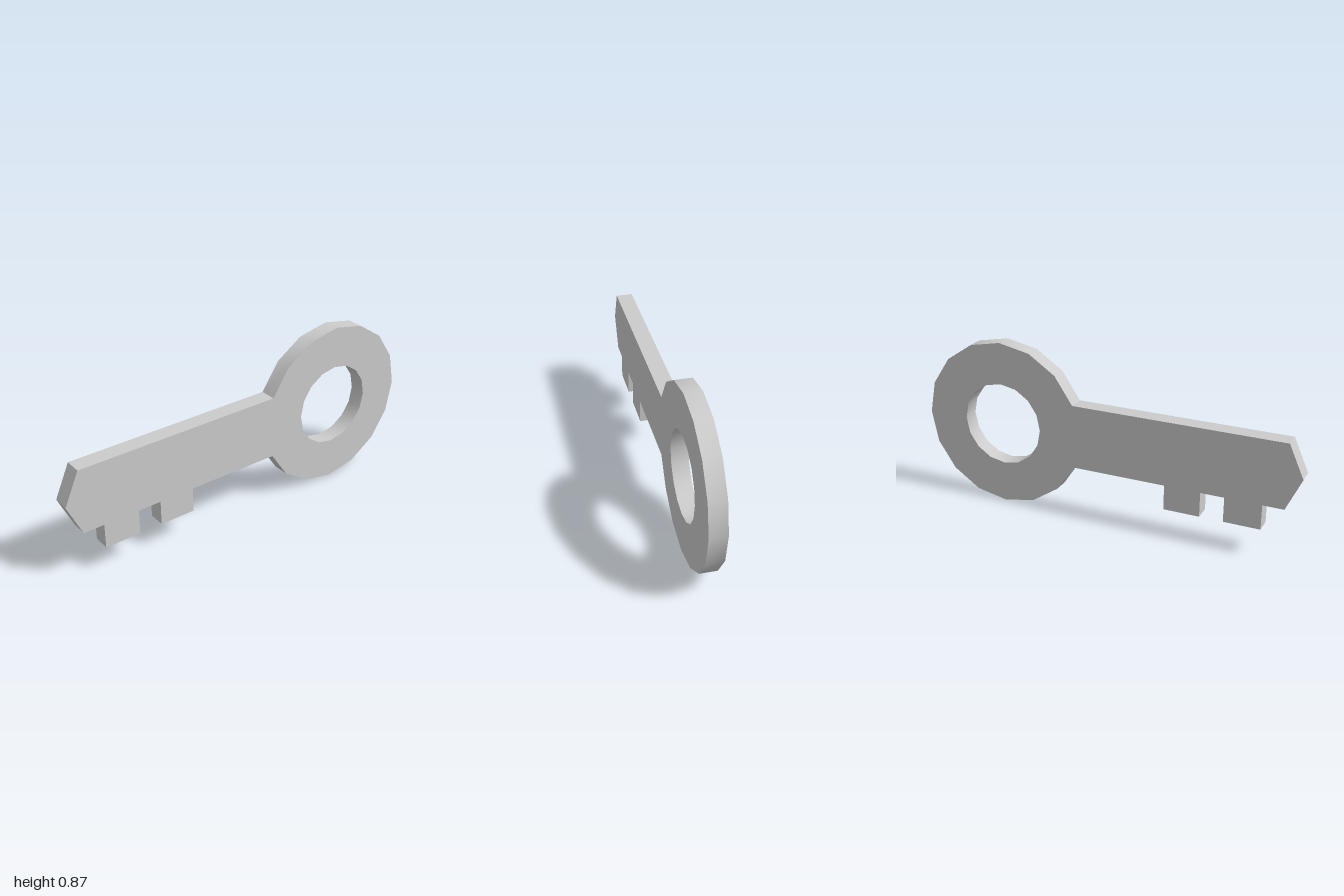
import * as THREE from 'three';
import { toCreasedNormals } from 'three/addons/utils/BufferGeometryUtils.js';

const THICKNESS = 0.086;
const BOW = { z: -0.565, y: 0.435, outer: 0.435, inner: 0.217, sides: 16 };

// Corner i of a regular polygon around the bow's centre, as (z, y)
function bowPoint(radius, i) {
  const a = (i / BOW.sides) * Math.PI * 2;
  return new THREE.Vector2(BOW.z + radius * Math.cos(a), BOW.y + radius * Math.sin(a));
}

export function createModel() {
  const group = new THREE.Group();
  group.name = 'key';

  // Bow: ring corners from the upper neck round to the lower neck
  const outline = [];
  for (let i = 1; i < BOW.sides; i++) outline.push(bowPoint(BOW.outer, i));

  // Blade: underside with two teeth, then the pointed tip
  const bottom = outline[outline.length - 1].y;
  const top = outline[0].y;
  const toothBottom = 0.14;
  const add = (z, y) => outline.push(new THREE.Vector2(z, y));
  for (const [start, end] of [[0.33, 0.515], [0.635, 0.82]]) {
    add(start, bottom);
    add(start, toothBottom);
    add(end, toothBottom);
    add(end, bottom);
  }
  add(0.925, bottom);
  add(1, BOW.y);
  add(0.925, top);

  // Round hole through the bow
  const shape = new THREE.Shape(outline);
  const hole = [];
  for (let i = 0; i < BOW.sides; i++) hole.push(bowPoint(BOW.inner, i));
  shape.holes.push(new THREE.Path(hole));

  // Extrude, centre the thickness, and turn the profile to run along z
  let geometry = new THREE.ExtrudeGeometry(shape, { depth: THICKNESS, bevelEnabled: false });
  geometry.translate(0, 0, -THICKNESS / 2);
  geometry.rotateY(-Math.PI / 2);
  geometry = toCreasedNormals(geometry, 0.5);

  const body = new THREE.Mesh(geometry, new THREE.MeshStandardMaterial({ color: 0xcccccc }));
  body.name = 'keyBody';
  group.add(body);
  return group;
}
